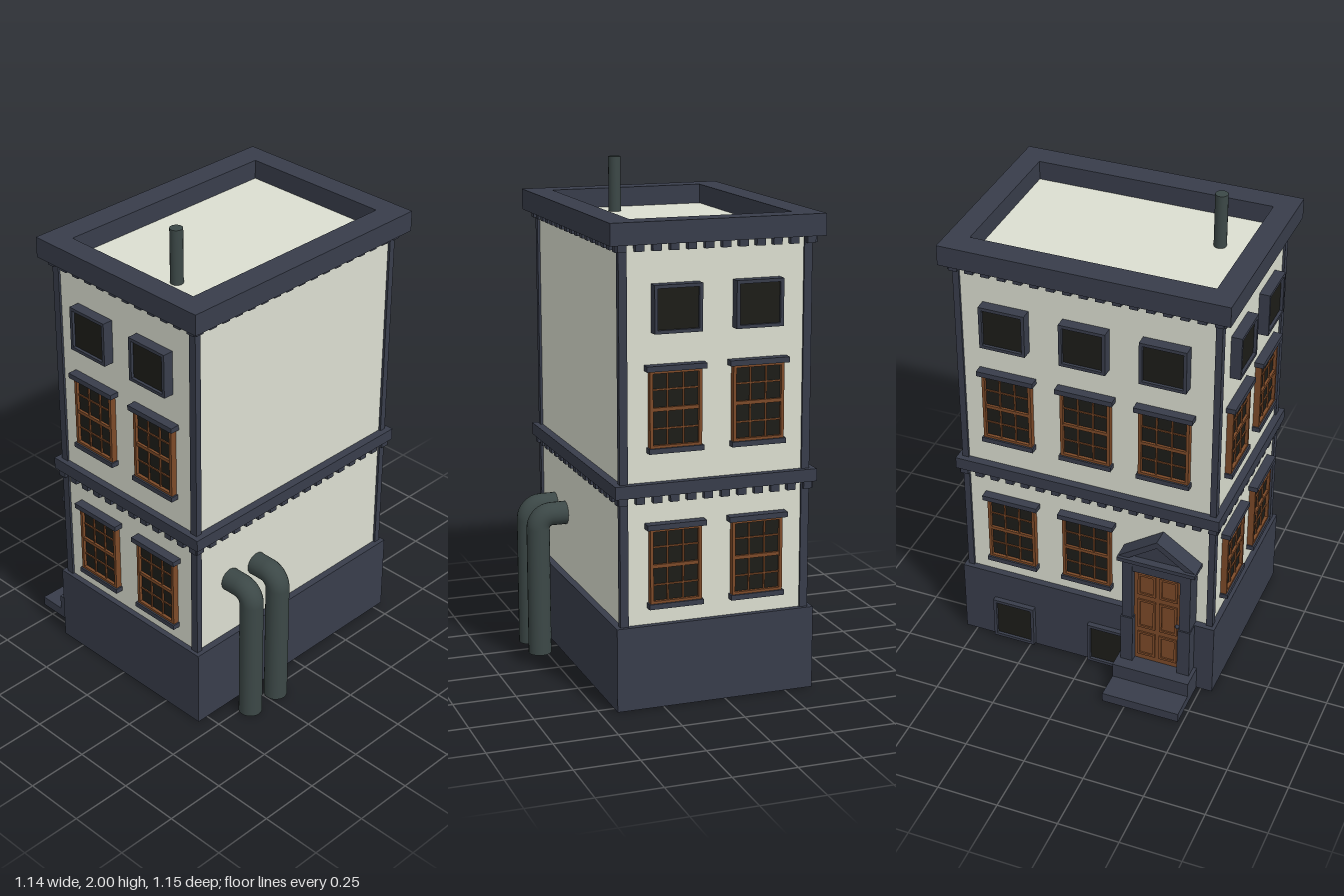
import * as THREE from 'three';

const mat = (color, extra = {}) => new THREE.MeshStandardMaterial({ color, ...extra });
const navy = mat(0x383d4b), cream = mat(0xdcdfd1), glassMat = mat(0x1c1c18);
const wood = mat(0x7d4a28), metal = mat(0x3c4847);

const CX = 0.037; // the tower sits slightly off the middle in x
const WALL = { w: 0.74, d: 1.05, top: 1.78 };

function add(parent, name, geo, material, x = 0, y = 0, z = 0) {
  const m = new THREE.Mesh(geo, material);
  m.name = name;
  m.position.set(x, y, z);
  parent.add(m);
  return m;
}

// box given by its centre in x, its y range and its z range
function block(parent, name, material, x, w, y0, y1, z0, z1) {
  return add(parent, name, new THREE.BoxGeometry(w, y1 - y0, z1 - z0), material,
    x, (y0 + y1) / 2, (z0 + z1) / 2);
}

// rectangular ring, extruded along z
function ringGeo(w, h, iw, ih, depth) {
  const rect = (P, a, b) => new P([[-a, -b], [a, -b], [a, b], [-a, b]]
    .map(([x, y]) => new THREE.Vector2(x / 2, y / 2)));
  const s = rect(THREE.Shape, w, h);
  s.holes.push(rect(THREE.Path, iw, ih));
  return new THREE.ExtrudeGeometry(s, { depth, bevelEnabled: false });
}

function group(parent, name, x = 0, y = 0, z = 0) {
  const g = new THREE.Group();
  g.name = name;
  g.position.set(x, y, z);
  parent.add(g);
  return g;
}

// tall window with lintel, sill and a 3 x 4 lattice; y is the sill bottom
function sashWindow(parent, x, y) {
  const g = group(parent, 'sashWindow', x, y, 0);
  const w = 0.204, y0 = 0.018, y1 = 0.312, t = 0.012;
  block(g, 'glass', glassMat, 0, w - 0.004, y0, y1, -0.005, 0.012);
  add(g, 'windowFrame', ringGeo(w, y1 - y0, w - 2 * t, y1 - y0 - 2 * t, 0.03), wood,
    0, (y0 + y1) / 2, -0.005);
  for (const s of [-1, 1]) block(g, 'glazingBar', wood, s * 0.031, 0.006, y0, y1, 0, 0.018);
  for (let i = 1; i < 4; i++) {
    const yy = y0 + (y1 - y0) * i / 4, h = i === 2 ? 0.007 : 0.003;
    block(g, 'glazingBar', wood, 0, w - t, yy - h, yy + h, 0, i === 2 ? 0.022 : 0.017);
  }
  block(g, 'lintel', navy, 0, 0.235, 0.31, 0.331, -0.005, 0.038);
  block(g, 'sill', navy, 0, 0.216, 0, 0.02, -0.005, 0.032);
}

// plain window in a projecting box frame
function boxWindow(parent, name, x, y0, w, h, z, depth) {
  const g = group(parent, name, x, y0 + h / 2, z);
  add(g, 'boxFrame', ringGeo(w, h, w - 0.026, h - 0.026, depth), navy);
  add(g, 'glass', new THREE.BoxGeometry(w - 0.02, h - 0.02, depth - 0.012), glassMat,
    0, 0, (depth - 0.012) / 2);
}

// door with steps, pillars and a gabled canopy
function entrance(parent, x) {
  const g = group(parent, 'entrance', x, 0, 0);
  block(g, 'lowerStep', navy, 0, 0.325, 0, 0.04, 0, 0.242);
  block(g, 'upperStep', navy, 0, 0.325, 0.002, 0.105, 0, 0.132);
  block(g, 'doorBacking', navy, 0, 0.27, 0.1, 0.62, -0.005, 0.045);
  block(g, 'door', wood, 0, 0.2, 0.105, 0.575, 0.02, 0.053);
  for (const s of [-1, 1]) {
    block(g, 'pillar', navy, s * 0.122, 0.044, 0.105, 0.62, 0, 0.077);
    block(g, 'pillarBase', navy, s * 0.122, 0.052, 0.105, 0.33, 0, 0.083);
    for (const [a, b] of [[0.13, 0.25], [0.275, 0.42], [0.445, 0.55]]) {
      add(g, 'doorPanel', ringGeo(0.075, b - a, 0.055, b - a - 0.02, 0.006), wood,
        s * 0.046, (a + b) / 2, 0.053);
    }
  }
  add(g, 'doorKnob', new THREE.SphereGeometry(0.009, 10, 8), navy, 0.086, 0.33, 0.062);
  block(g, 'doorLintel', navy, 0, 0.25, 0.57, 0.62, 0, 0.075);
  block(g, 'canopyLedge', navy, 0, 0.326, 0.615, 0.632, 0, 0.087);
  const gable = (pts, depth, name) => add(g, name, new THREE.ExtrudeGeometry(
    new THREE.Shape(pts.map(([a, b]) => new THREE.Vector2(a, b))),
    { depth, bevelEnabled: false }), navy);
  gable([[-0.14, 0.63], [0.14, 0.63], [0, 0.725]], 0.055, 'gableFace');
  gable([[-0.163, 0.63], [-0.12, 0.63], [0, 0.713], [0.12, 0.63], [0.163, 0.63], [0, 0.742]],
    0.074, 'gableRoof');
}

// dentils hung under a cornice on all four sides
function dentils(parent, y0, y1, out) {
  const g = group(parent, 'dentils', CX, 0, 0);
  for (const [span, half, n, turned] of [[WALL.w, WALL.d / 2, 11, false], [WALL.d, WALL.w / 2, 16, true]]) {
    const pitch = span / n;
    for (const s of [-1, 1]) for (let i = 0; i <= n; i++) {
      const a = -span / 2 + i * pitch, b = s * (half + out / 2);
      const size = turned ? [out, y1 - y0, 0.034] : [0.034, y1 - y0, out];
      add(g, 'dentil', new THREE.BoxGeometry(...size), navy,
        turned ? b : a, (y0 + y1) / 2, turned ? a : b);
    }
  }
}

// bent pipe from the wall down to the ground
function drainPipe(parent, z) {
  const g = group(parent, 'drainPipe', 0, 0, z);
  const r = 0.047, R = 0.055, px = 0.523, py = 0.583;
  add(g, 'uprightPipe', new THREE.CylinderGeometry(r, r, py - R, 20), metal, px, (py - R) / 2, 0);
  add(g, 'pipeBend', new THREE.TorusGeometry(R, r, 20, 8, Math.PI / 2), metal, px - R, py - R, 0);
  const len = px - R - 0.39;
  add(g, 'wallPipe', new THREE.CylinderGeometry(r, r, len, 20), metal, px - R - len / 2, py, 0)
    .rotation.z = Math.PI / 2;
}

export function createModel() {
  const model = new THREE.Group();
  model.name = 'townHouse';

  // main masses
  block(model, 'walls', cream, CX, WALL.w, 0, WALL.top, -WALL.d / 2, WALL.d / 2);
  block(model, 'plinth', navy, CX, 0.797, 0.002, 0.33, -0.548, 0.548);
  for (const sx of [-1, 1]) for (const sz of [-1, 1]) {
    const z = sz * 0.521;
    block(model, 'cornerPilaster', navy, CX + sx * 0.364, 0.032, 0.32, 1.78, z - 0.013, z + 0.013);
  }

  // belt course, top cornice and their dentils
  block(model, 'beltCourse', navy, CX, 0.807, 0.833, 0.882, -0.554, 0.554);
  dentils(model, 0.805, 0.835, 0.022);
  add(model, 'topCornice', ringGeo(0.842, 1.15, 0.637, 0.97, 0.083), navy, CX + 0.003, 1.775, 0)
    .rotation.x = -Math.PI / 2;
  dentils(model, 1.747, 1.777, 0.025);

  // facades: local +z points out of the wall
  const facade = (name, x, z, turn) => {
    const f = group(model, name, x, 0, z);
    f.rotation.y = turn;
    return f;
  };
  const front = facade('frontFacade', CX, WALL.d / 2, 0);
  const back = facade('backFacade', CX, -WALL.d / 2, Math.PI);
  const side = facade('doorFacade', CX - WALL.w / 2, 0, -Math.PI / 2);
  for (const f of [front, back]) for (const s of [-1, 1]) {
    sashWindow(f, s * 0.164, 0.395);
    sashWindow(f, s * 0.164, 0.995);
    boxWindow(f, 'atticWindow', s * 0.16, 1.445, 0.187, 0.18, -0.002, 0.045);
  }
  for (const x of [-0.325, 0, 0.32]) {
    if (x < 0.1) sashWindow(side, x, 0.395);
    sashWindow(side, x, 0.995);
    boxWindow(side, 'atticWindow', x, 1.445, 0.187, 0.18, -0.002, 0.047);
  }
  for (const x of [-0.32, 0.1]) boxWindow(side, 'cellarWindow', x, 0.01, 0.18, 0.19, 0.02, 0.03);
  entrance(side, 0.318);

  // pipes
  for (const z of [0.2, 0.345]) drainPipe(model, z);
  add(model, 'roofPipe', new THREE.CylinderGeometry(0.025, 0.025, 0.23, 16), metal, 0.137, 1.885, 0.352);

  return model;
}
